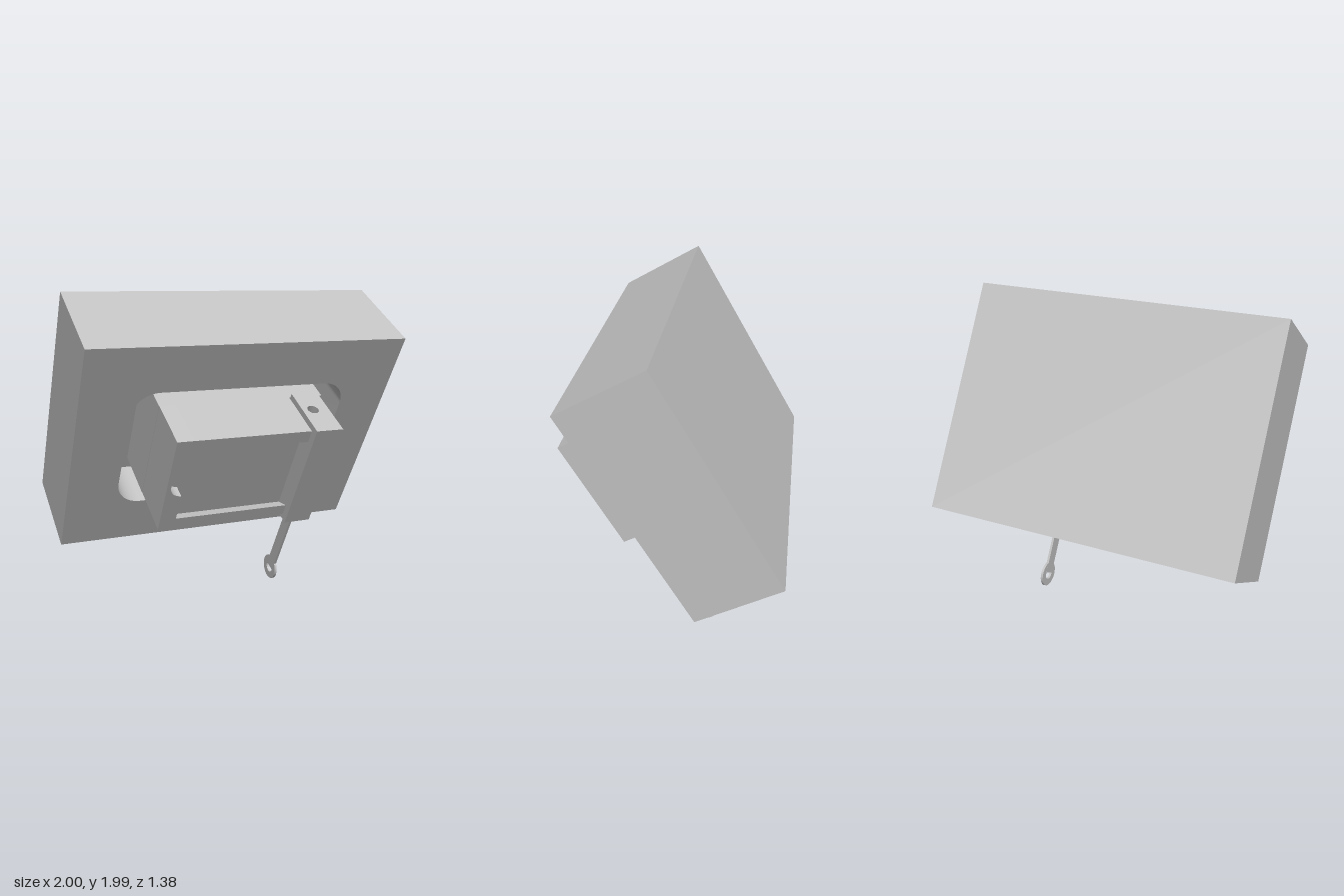
import * as THREE from 'three';
import { toCreasedNormals } from 'three/addons/utils/BufferGeometryUtils.js';

export function createModel() {
  const model = new THREE.Group();
  const grey = new THREE.MeshStandardMaterial({ color: 0xc0c0c0 });
  grey.name = 'light grey';

  // Everything sits in a frame leaning 30 degrees: y runs up the slab, z out of its front face
  const tilted = new THREE.Group();
  tilted.name = 'tiltedAssembly';
  tilted.rotation.x = Math.PI / 6;
  tilted.position.set(0, 0.44, -0.19);
  model.add(tilted);

  const add = (name, geometry) => {
    const mesh = new THREE.Mesh(geometry, grey);
    mesh.name = name;
    tilted.add(mesh);
    return mesh;
  };
  const box = (name, x0, x1, y0, y1, z0, z1) =>
    add(name, new THREE.BoxGeometry(x1 - x0, y1 - y0, z1 - z0))
      .position.set((x0 + x1) / 2, (y0 + y1) / 2, (z0 + z1) / 2);
  const extrude = (shape, depth) => toCreasedNormals(
    new THREE.ExtrudeGeometry(shape, { depth, bevelEnabled: false, curveSegments: 20 }), 0.6);
  const polygon = (pts) => new THREE.Shape(pts.map(([x, y]) => new THREE.Vector2(x, y)));
  const circle = (x, y, r) => new THREE.Path().absarc(x, y, r, 0, Math.PI * 2, true);

  // Slab: solid back, front layer with a rounded recess
  box('slabBack', -1, 1, 0, 1.465, -0.573, -0.32);
  const face = polygon([[-1, 0], [1, 0], [1, 1.465], [-1, 1.465]]);
  const hw = 0.69, lo = 0.312, hi = 1.155, r = 0.16;
  const recess = new THREE.Path();
  recess.absarc(hw - r, lo + r, r, -Math.PI / 2, 0, false);
  recess.absarc(hw - r, hi - r, r, 0, Math.PI / 2, false);
  recess.absarc(-hw + r, hi - r, r, Math.PI / 2, Math.PI, false);
  recess.absarc(-hw + r, lo + r, r, Math.PI, Math.PI * 1.5, false);
  recess.closePath();
  face.holes.push(recess);
  add('slabFront', extrude(face, 0.32)).position.z = -0.32;

  // Mounting block inside the recess
  box('mountingBlock', -0.532, 0.53, 0.393, 1.068, -0.32, 0.008);

  // Housing: cross-section with a shallow front pocket, swept along x
  const profile = polygon([[0.008, 0.393], [0.33, 0.393], [0.33, 0.468], [0.25, 0.422],
    [0.25, 0.987], [0.33, 0.987], [0.33, 1.068], [0.008, 1.068]].map(([z, y]) => [-z, y]));
  add('housing', extrude(profile, 0.735).rotateY(Math.PI / 2)).position.x = -0.43;

  // Left side of the housing, with a round thumb notch in its front layer
  box('housingSide', -0.53, -0.43, 0.393, 1.068, 0.008, 0.25);
  const side = new THREE.Shape();
  side.moveTo(-0.43, 0.393);
  side.lineTo(-0.43, 0.645);
  side.absarc(-0.43, 0.727, 0.075, -Math.PI / 2, Math.PI / 2, true);
  side.lineTo(-0.43, 1.068);
  side.lineTo(-0.53, 1.068);
  side.lineTo(-0.53, 0.393);
  side.closePath();
  add('thumbNotchFrame', extrude(side, 0.08)).position.z = 0.25;

  // Taller end block with a hole running through it lengthwise
  const end = polygon([[0.305, -0.377], [0.48, -0.377], [0.48, -0.02], [0.305, -0.02]]);
  end.holes.push(circle(0.375, -0.18, 0.035));
  add('endBlock', extrude(end, 0.745).rotateX(-Math.PI / 2)).position.y = 0.36;

  // Pivot stub between the end block and the mounting block
  const pivot = add('pivot', new THREE.CylinderGeometry(0.05, 0.05, 0.04, 24));
  pivot.rotation.x = Math.PI / 2;
  pivot.position.set(0.448, 0.716, 0.018);

  // Flared peg under the housing
  add('peg', new THREE.CylinderGeometry(0.022, 0.032, 0.05, 24)).position.set(-0.13, 0.37, 0.19);

  // Lever arm reaching down to a ring
  box('leverArm', 0.464, 0.48, -0.3, 0.36, 0.14, 0.22);
  const ring = new THREE.Shape().absarc(0, 0, 0.083, 0, Math.PI * 2, false);
  ring.holes.push(circle(0, 0, 0.038));
  add('leverRing', extrude(ring, 0.0155).rotateY(Math.PI / 2)).position.set(0.4643, -0.307, 0.178);

  return model;
}
